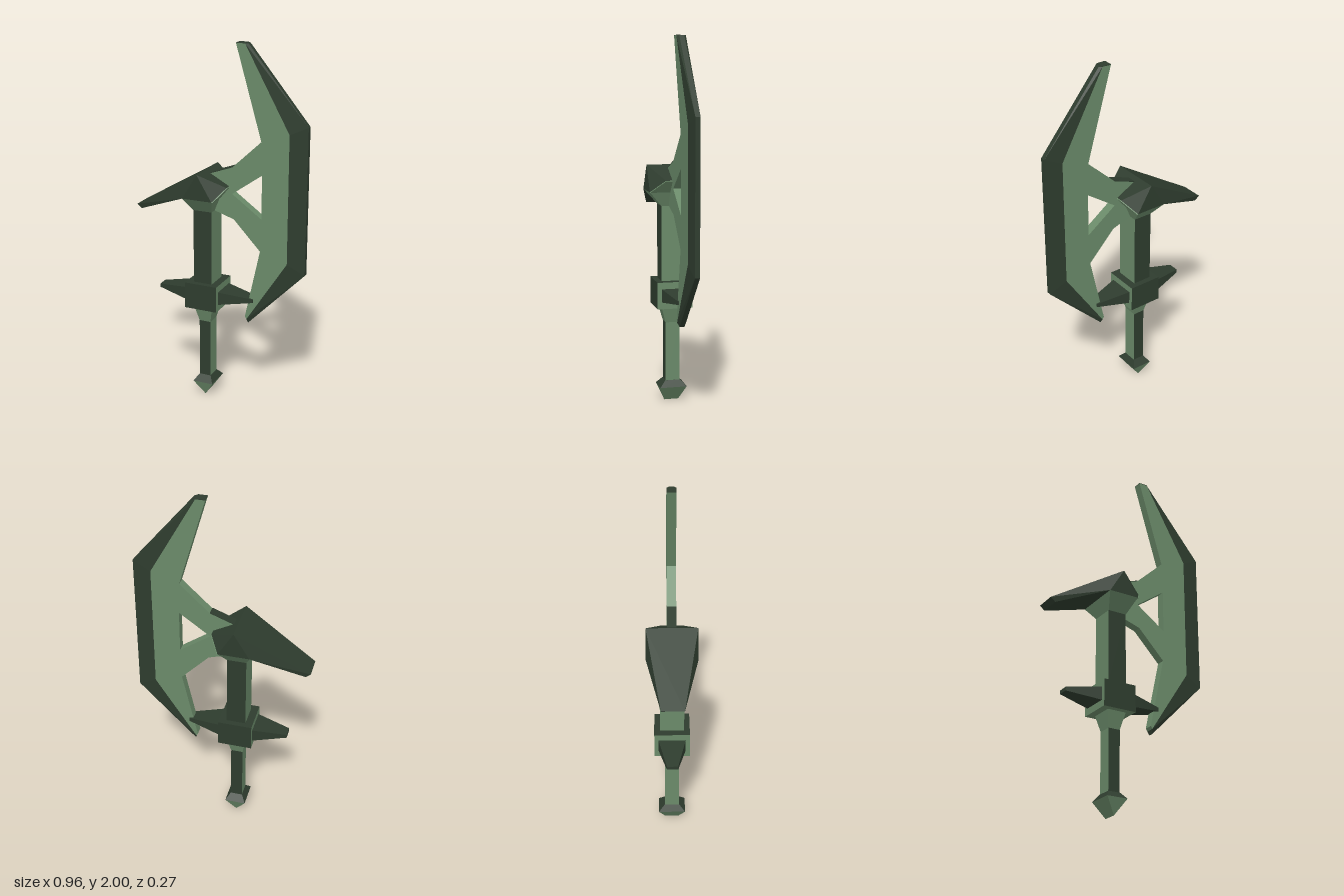
import * as THREE from 'three';
import { ConvexGeometry } from 'three/addons/geometries/ConvexGeometry.js';

const AXIS_X = -0.085; // centre line of the handle

export function createModel() {
  const model = new THREE.Group();
  model.name = 'battleAxe';

  const dark = new THREE.MeshStandardMaterial({ color: 0x2e3c2e });
  dark.name = 'dark green';
  const light = new THREE.MeshStandardMaterial({ color: 0x6a8a69 });
  light.name = 'light green';

  const add = (name, geometry, material) => {
    const mesh = new THREE.Mesh(geometry, material);
    mesh.name = name;
    model.add(mesh);
    return mesh;
  };

  // Box whose bottom and top ends have their own half sizes
  const taper = (y0, hx0, hz0, y1, hx1, hz1) => {
    const g = new THREE.BoxGeometry(2, 2, 2);
    const p = g.attributes.position;
    for (let i = 0; i < p.count; i++) {
      const top = p.getY(i) > 0;
      p.setXYZ(i, p.getX(i) * (top ? hx1 : hx0), top ? y1 : y0, p.getZ(i) * (top ? hz1 : hz0));
    }
    g.computeVertexNormals();
    return g;
  };

  // Convex solid from [x, y, half depth] points mirrored in z
  const hull = (points) => new ConvexGeometry(points.flatMap(([x, y, z]) =>
    [new THREE.Vector3(x, y, z), new THREE.Vector3(x, y, -z)]));

  // Handle, from pommel to collar; side order is +x, -x, +y, -y, +z, -z
  const twoTone = [light, light, dark, light, dark, dark];
  const handleParts = [
    ['pommelPoint', light, [0, 0, 0.04, 0.085, 0.058, 0.075]],
    ['pommelSkirt', dark, [0.085, 0.058, 0.075, 0.12, 0.034, 0.042]],
    ['grip', twoTone, [0.12, 0.033, 0.04, 0.45, 0.033, 0.04]],
    ['gripFlare', light, [0.45, 0.033, 0.04, 0.54, 0.053, 0.065]],
    ['guardBlock', twoTone, [0.54, 0.094, 0.097, 0.687, 0.094, 0.097]],
    ['shaft', twoTone, [0.687, 0.053, 0.066, 1.1, 0.053, 0.066]],
    ['collar', light, [1.1, 0.053, 0.066, 1.18, 0.086, 0.136]],
  ];
  for (const [name, material, size] of handleParts) {
    add(name, taper(...size), material).position.x = AXIS_X;
  }

  // Guard spikes on both sides
  for (const side of [1, -1]) {
    const g = taper(0.09, 0.037, 0.075, 0.28, 0.01, 0.03);
    g.rotateZ(-side * Math.PI / 2);
    add(side > 0 ? 'leftGuardSpike' : 'rightGuardSpike', g, dark).position.set(AXIS_X, 0.614, 0);
  }

  // Head: sloping beak and faceted rear
  add('beak', hull([
    [-0.085, 1.32, 0.136], [-0.17, 1.18, 0.136],
    [-0.482, 1.088, 0.06], [-0.455, 1.066, 0.06], [-0.085, 1.18, 0.136],
  ].slice(0, 4)), dark);
  add('headRear', hull([
    [-0.085, 1.32, 0.136], [-0.17, 1.18, 0.136],
    [0, 1.18, 0.136], [0.053, 1.245, 0.06],
  ]), dark);
  add('headRearUnderside', hull([
    [0, 1.18, 0.136], [0.053, 1.245, 0.06],
    [0.004, 1.177, 0.136], [0.057, 1.242, 0.06],
  ]), light);

  // Blade plate with its two struts and triangular opening
  const v = ([x, y]) => new THREE.Vector2(x, y);
  const inner = [[0.138, 2], [0.385, 1.555], [0.385, 0.855], [0.157, 0.5]];
  const outer = [[0.152, 2], [0.482, 1.6], [0.482, 0.803], [0.163, 0.476]];
  const shape = new THREE.Shape([
    ...inner, [0.148, 0.515], [0.232, 0.905], [0.08, 1.065], [-0.03, 1.1],
    [-0.06, 1.302], [0.07, 1.35], [0.232, 1.503], [0.088, 2],
  ].map(v));
  shape.holes.push(new THREE.Path([[0.238, 1.325], [0.07, 1.205], [0.238, 1.085]].map(v)));
  const plate = new THREE.ExtrudeGeometry(shape, { depth: 0.05, bevelEnabled: false });
  plate.translate(0, 0, -0.025);
  add('bladePlate', plate, light);

  // Sharpened outer edge, one wedge per straight run
  for (let i = 0; i < 3; i++) {
    add('bladeEdge' + (i + 1), hull([
      [...inner[i], 0.025], [...inner[i + 1], 0.025],
      [...outer[i], 0.013], [...outer[i + 1], 0.013],
    ]), dark);
  }

  // Dark caps on the strut top and the blade tip
  add('strutCap', hull([
    [-0.06, 1.302, 0.025], [0.07, 1.35, 0.025], [-0.06, 1.306, 0.025], [0.07, 1.354, 0.025],
  ]), dark);
  add('tipCap', hull([
    [0.088, 1.999, 0.025], [0.138, 1.999, 0.025], [0.088, 2.002, 0.025], [0.138, 2.002, 0.025],
  ]), dark);

  return model;
}
